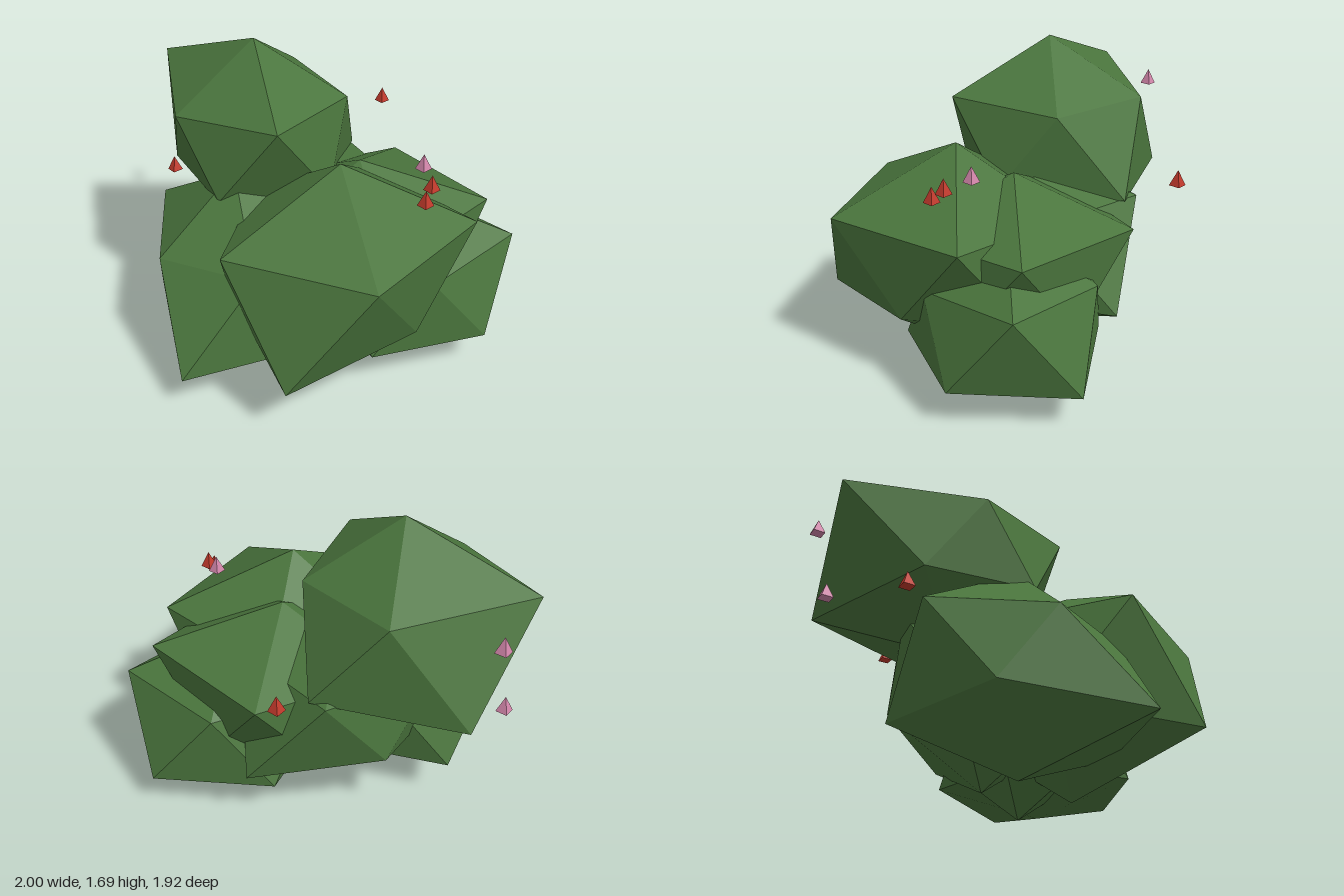
import * as THREE from 'three';

const leafGreen = new THREE.MeshStandardMaterial({ color: 0x4a753d });
leafGreen.name = 'leafGreen';
const blossomRed = new THREE.MeshStandardMaterial({ color: 0xc0392b });
blossomRed.name = 'blossomRed';
const blossomPink = new THREE.MeshStandardMaterial({ color: 0xd084a8 });
blossomPink.name = 'blossomPink';

const RING_SLOPE = 0.41; // height of a ring vertex relative to its reach (squashed icosahedron)

// Uneven icosahedron: a top and bottom point, and two rings of five with their own reach
function leafClump([cx, cy, cz], top, upper, lower, bottom) {
  const ring = (reach, startDeg, sign) => reach.map((r, i) => {
    const a = THREE.MathUtils.degToRad(startDeg + 72 * i);
    return [cx + r * Math.cos(a), cy + sign * RING_SLOPE * r, cz + r * Math.sin(a)];
  });
  const T = [cx, cy + top, cz];
  const B = [cx, cy - bottom, cz];
  const U = ring(upper, 0, 1);
  const L = ring(lower, 36, -1);
  const corners = [];
  for (let i = 0; i < 5; i++) {
    const j = (i + 1) % 5;
    corners.push(T, U[j], U[i], U[i], U[j], L[i], U[j], L[j], L[i], B, L[i], L[j]);
  }
  const geometry = new THREE.BufferGeometry();
  geometry.setAttribute('position', new THREE.Float32BufferAttribute(corners.flat(), 3));
  geometry.computeVertexNormals();
  return geometry;
}

export function createModel() {
  const model = new THREE.Group();
  model.name = 'floweringBush';

  // Clumps: centre, top, upper ring (0, 72, 144...), lower ring (36, 108, 180...), bottom
  const clumps = {
    crownClump: [[-0.43, 1.17, -0.28], 0.53, [0.5, 0.575, 0.48, 0.705, 0.525], [0.52, 0.5, 0.47, 0.705, 0.64], 0.45],
    frontClump: [[0.06, 0.64, 0.25], 0.61, [0.71, 0.683, 0.7, 0.6, 0.6], [0.51, 0.746, 0.6, 0.58, 0.58], 0.58],
    rightClump: [[-0.51, 0.52, 0.09], 0.58, [0.55, 0.5, 0.467, 0.585, 0.55], [0.64, 0.715, 0.45, 0.62, 0.57], 0.51],
    middleClump: [[0.15, 0.6, -0.05], 0.51, [0.7, 0.58, 0.55, 0.58, 0.642], [0.55, 0.55, 0.55, 0.52, 0.5], 0.59],
    leftClump: [[0.42, 0.46, 0], 0.48, [0.58, 0.45, 0.5, 0.5, 0.475], [0.544, 0.56, 0.5, 0.545, 0.6], 0.37],
    backClump: [[-0.17, 0.67, -0.17], 0.44, [0.55, 0.5, 0.5, 0.52, 0.59], [0.55, 0.55, 0.55, 0.49, 0.71], 0.6],
  };
  for (const [name, spec] of Object.entries(clumps)) {
    const clump = new THREE.Mesh(leafClump(...spec), leafGreen);
    clump.name = name;
    model.add(clump);
  }

  // Blossoms: small four-sided cones scattered around the foliage
  const blossomShape = new THREE.ConeGeometry(0.043, 0.083, 4).toNonIndexed();
  blossomShape.computeVertexNormals();
  const blossoms = [
    [blossomRed, 0.52, 1.19, 0.31],
    [blossomRed, 0.49, 1.135, 0.37],
    [blossomRed, 0.26, 1.11, -0.89],
    [blossomRed, -0.935, 0.89, -0.35],
    [blossomPink, 0.48, 1.235, 0.175],
    [blossomPink, -0.76, 1.365, -0.915],
    [blossomPink, -0.855, 0.92, -0.79],
  ];
  for (const [material, x, y, z] of blossoms) {
    const blossom = new THREE.Mesh(blossomShape, material);
    blossom.name = material === blossomRed ? 'redBlossom' : 'pinkBlossom';
    blossom.position.set(x, y, z);
    model.add(blossom);
  }
  return model;
}
